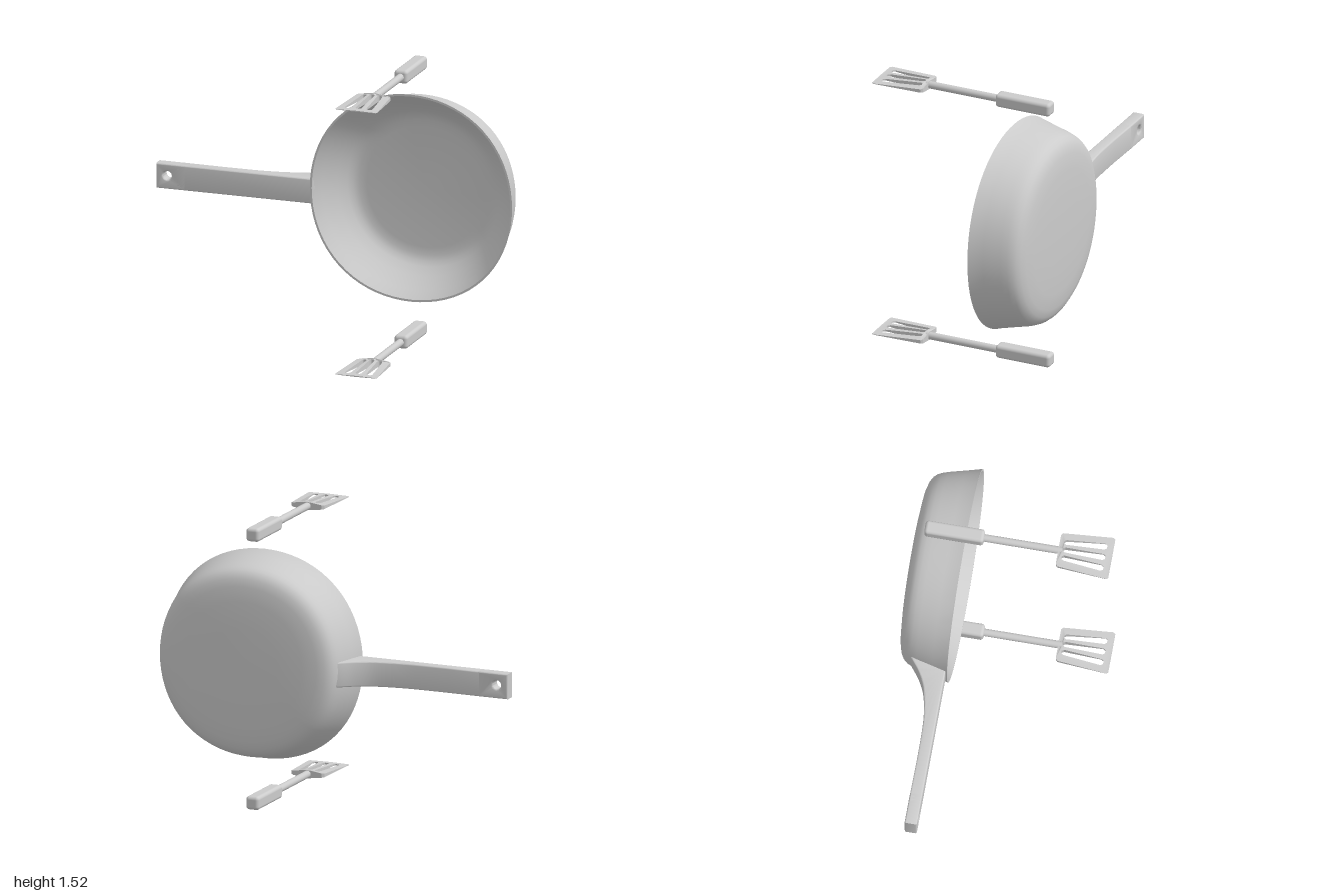
import * as THREE from 'three';
import { toCreasedNormals } from 'three/addons/utils/BufferGeometryUtils.js';
import { RoundedBoxGeometry } from 'three/addons/geometries/RoundedBoxGeometry.js';

const material = new THREE.MeshStandardMaterial({ color: 0xcccccc });

function add(parent, name, geometry, x = 0, y = 0, z = 0) {
  const mesh = new THREE.Mesh(geometry, material);
  mesh.name = name;
  mesh.position.set(x, y, z);
  parent.add(mesh);
  return mesh;
}

const vec = (pairs) => pairs.map(([a, b]) => new THREE.Vector2(a, b));

// Move every vertex of a geometry by a rule
function warp(geometry, rule) {
  const pos = geometry.attributes.position;
  const v = new THREE.Vector3();
  for (let i = 0; i < pos.count; i++) {
    v.fromBufferAttribute(pos, i);
    rule(v);
    pos.setXYZ(i, v.x, v.y, v.z);
  }
  return geometry;
}

// Pan bowl: outer skin, rim, sloping inner wall and floor, opening to the front
function bowlGeometry() {
  const profile = vec([
    [0, -0.538], [0.2, -0.536], [0.34, -0.531], [0.42, -0.523], [0.46, -0.512], [0.485, -0.497],
    [0.502, -0.477], [0.513, -0.452], [0.523, -0.42], [0.545, -0.33], [0.564, -0.257],
    [0.567, -0.25], [0.556, -0.25], [0.551, -0.257],
    [0.52, -0.31], [0.465, -0.39], [0.425, -0.437], [0.4, -0.458], [0.37, -0.47], [0.33, -0.474], [0, -0.476],
  ]);
  const g = new THREE.LatheGeometry(profile, 72).rotateX(Math.PI / 2);
  // The outline is very slightly square
  warp(g, (v) => {
    const k = 1 + 0.007 * (1 - Math.cos(4 * Math.atan2(v.y, v.x)));
    v.x *= k;
    v.y *= k;
  });
  return toCreasedNormals(g, 0.7);
}

const bevel = { bevelEnabled: true, bevelSize: 0.008, bevelThickness: 0.008, bevelOffset: -0.008, bevelSegments: 3 };

// Flat handle tip with the hanging hole
function handleTipGeometry() {
  const shape = new THREE.Shape(vec([[-1, 0.712], [-0.83, 0.712], [-0.83, 0.848], [-1, 0.848]]));
  shape.holes.push(new THREE.Path().absarc(-0.937, 0.785, 0.024, 0, Math.PI * 2, true));
  const g = new THREE.ExtrudeGeometry(shape, { ...bevel, depth: 0.05, curveSegments: 16 });
  return toCreasedNormals(g.translate(0, 0, -0.317), 0.6);
}

// Handle arm: its back sweeps out to meet the bowl
function handleArmGeometry() {
  const shape = new THREE.Shape();
  shape.moveTo(-0.88, 0.259);
  shape.lineTo(-0.115, 0.259);
  shape.lineTo(-0.06, 0.465);
  shape.splineThru(vec([[-0.09, 0.445], [-0.15, 0.4], [-0.22, 0.364], [-0.3, 0.343], [-0.4, 0.328], [-0.5, 0.323], [-0.65, 0.322]]));
  shape.lineTo(-0.88, 0.325);
  const g = new THREE.ExtrudeGeometry(shape, { ...bevel, depth: 0.12, curveSegments: 4 });
  return toCreasedNormals(g.rotateX(-Math.PI / 2).translate(0, 0.72, 0), 0.6);
}

// Slotted blade, a wedge that thins towards its front edge and sides
function bladeGeometry() {
  const shape = new THREE.Shape(vec([
    [-0.082, 0.25], [0, 0.25], [0.082, 0.25], [0.094, 0.26], [0.117, 0.525],
    [0.109, 0.535], [0, 0.535], [-0.109, 0.535], [-0.117, 0.525], [-0.094, 0.26],
  ]));
  for (const side of [-1, 0, 1]) {
    const a = side * 0.044, b = side * 0.06, w = 0.014, w2 = 0.017;
    shape.holes.push(new THREE.Path(vec([
      [a - w, 0.285], [a - w * 0.5, 0.274], [a + w * 0.5, 0.274], [a + w, 0.285],
      [b + w2, 0.488], [b + w2 * 0.5, 0.5], [b - w2 * 0.5, 0.5], [b - w2, 0.488],
    ])));
  }
  const g = new THREE.ExtrudeGeometry(shape, { depth: 1, bevelEnabled: false });
  g.translate(0, 0, -0.5).rotateX(Math.PI / 2);
  warp(g, (v) => {
    const along = (0.535 - v.z) / 0.285;
    v.y *= (0.006 + 0.04 * along) * (1 - 6 * Math.abs(v.x));
  });
  return toCreasedNormals(g, 0.5);
}

function createSpatula(name, y) {
  const spatula = new THREE.Group();
  spatula.name = name;
  spatula.position.set(0.412, y, 0);
  add(spatula, 'spatulaGrip', new RoundedBoxGeometry(0.075, 0.072, 0.317, 4, 0.018), 0, 0, -0.304);
  add(spatula, 'spatulaRod', new THREE.CylinderGeometry(0.02, 0.02, 0.43, 20).rotateX(Math.PI / 2), 0, 0, 0.055);
  add(spatula, 'spatulaBlade', bladeGeometry());
  return spatula;
}

export function createModel() {
  const model = new THREE.Group();
  model.name = 'panWithSpatulas';

  const pan = new THREE.Group();
  pan.name = 'fryingPan';
  add(pan, 'panBowl', bowlGeometry(), 0.433, 0.802, 0);
  add(pan, 'panHandleTip', handleTipGeometry());
  add(pan, 'panHandleArm', handleArmGeometry());
  model.add(pan);

  model.add(createSpatula('lowerSpatula', 0.038), createSpatula('upperSpatula', 1.49));
  return model;
}
